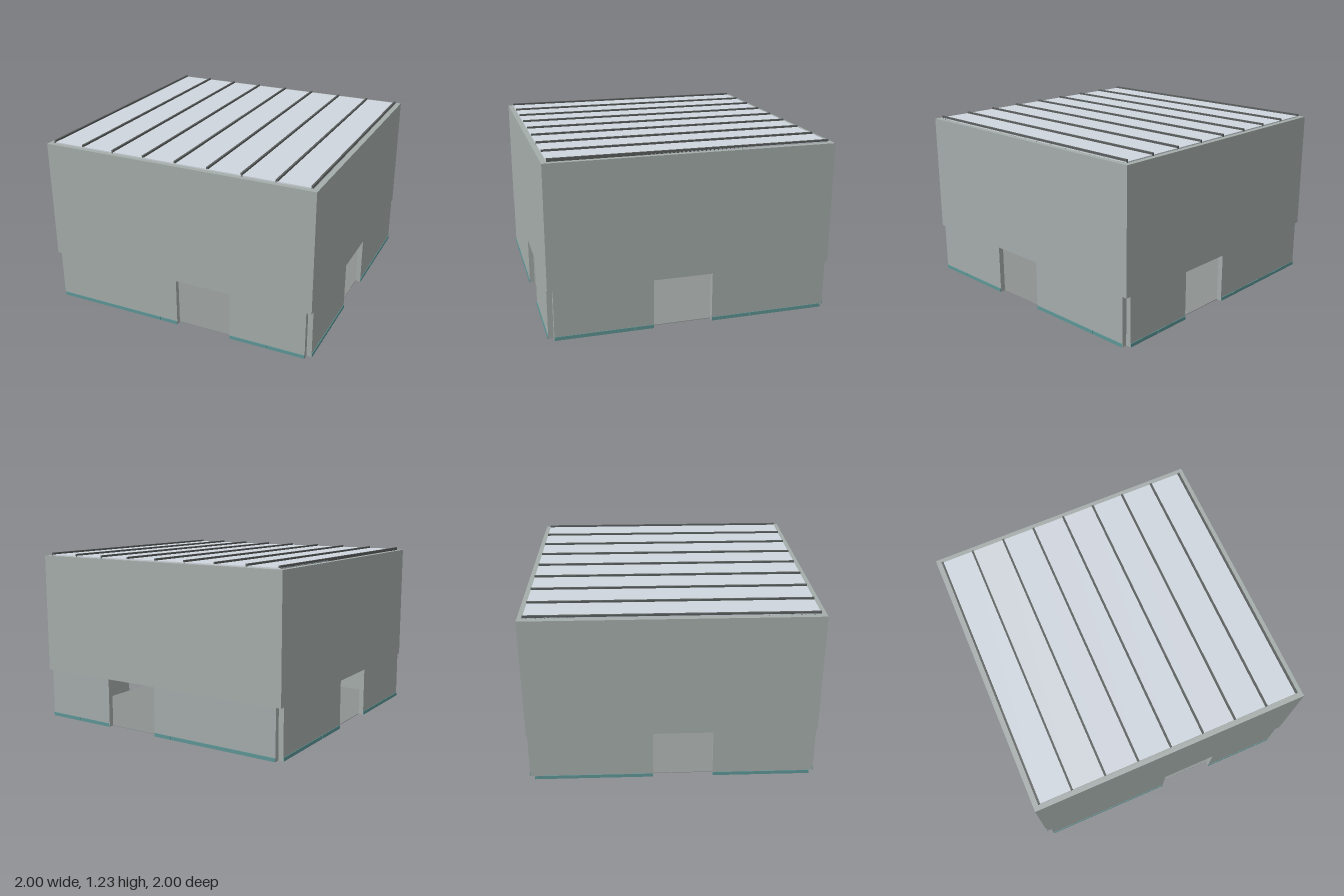
import * as THREE from 'three';

const mat = (color) => new THREE.MeshStandardMaterial({ color });
const WALL = mat(0xa5adab), ROOF = mat(0xd0d6de), DARK = mat(0x5c605f);
const TEAL = mat(0x5f9696), FLOOR = mat(0x8d9392);

const OUT = 0.996, IN = 0.96, TOP = 1.205, DOOR = 0.35;

function box(parent, name, material, x0, x1, y0, y1, z0, z1) {
  const mesh = new THREE.Mesh(new THREE.BoxGeometry(x1 - x0, y1 - y0, z1 - z0), material);
  mesh.position.set((x0 + x1) / 2, (y0 + y1) / 2, (z0 + z1) / 2);
  mesh.name = name;
  parent.add(mesh);
  return mesh;
}

// Wall facing +z with a doorway from d0 to d1; the top part reaches out to halfTop
function wall(name, halfTop, d0, d1) {
  const group = new THREE.Group();
  group.name = name;
  const outline = [[-IN, 0], [d0, 0], [d0, DOOR], [d1, DOOR], [d1, 0], [IN, 0]];
  if (halfTop > IN) outline.push([IN, DOOR], [halfTop, DOOR]);
  outline.push([halfTop, TOP], [-halfTop, TOP]);
  if (halfTop > IN) outline.push([-halfTop, DOOR], [-IN, DOOR]);
  const shape = new THREE.Shape(outline.map(([x, y]) => new THREE.Vector2(x, y)));
  const panel = new THREE.Mesh(
    new THREE.ExtrudeGeometry(shape, { depth: OUT - IN, bevelEnabled: false }), WALL);
  panel.position.z = IN;
  panel.name = 'wallPanel';
  group.add(panel);

  // Base flashing in short lengths, left open at the doorway
  const joints = [-0.69, -0.414, -0.138, 0.138, 0.414, 0.69];
  for (const [a, b] of [[-IN, d0], [d1, IN]]) {
    const stops = [a, ...joints.filter((j) => j > a + 0.02 && j < b - 0.02), b];
    for (let i = 0; i < stops.length - 1; i++) {
      box(group, 'baseFlashing', TEAL, stops[i] + 0.001, stops[i + 1] - 0.001, 0, 0.025, OUT, 1);
    }
  }
  return group;
}

export function createModel() {
  const model = new THREE.Group();
  model.name = 'building';

  // Four walls; opposite doorways line up
  const front = wall('frontWall', OUT, 0, 0.41);
  const back = wall('backWall', OUT, -0.41, 0);
  back.rotation.y = Math.PI;
  const left = wall('leftWall', IN, -0.28, 0.135);
  left.rotation.y = Math.PI / 2;
  const right = wall('rightWall', IN, -0.135, 0.28);
  right.rotation.y = -Math.PI / 2;
  model.add(front, back, left, right);

  // Floor slab between the walls
  box(model, 'floor', FLOOR, -IN, IN, 0, 0.004, -IN, IN);

  // Roof panels with a standing rib at every joint
  const roof = new THREE.Group();
  roof.name = 'roof';
  model.add(roof);
  const count = 8, pitch = (2 * IN) / count;
  for (let i = 0; i <= count; i++) {
    const x = -IN + i * pitch;
    if (i < count) box(roof, 'roofPanel', ROOF, x, x + pitch, 1.195, 1.213, -IN, IN);
    const cx = THREE.MathUtils.clamp(x, -IN + 0.007, IN - 0.007);
    box(roof, 'roofRib', DARK, cx - 0.007, cx + 0.007, 1.2, 1.226, -IN, IN);
  }

  // Beams carrying the roof inside
  for (const z of [-0.69, 0, 0.69]) {
    box(roof, 'roofBeam', WALL, -IN, IN, 1.13, 1.195, z - 0.02, z + 0.02);
  }
  return model;
}
